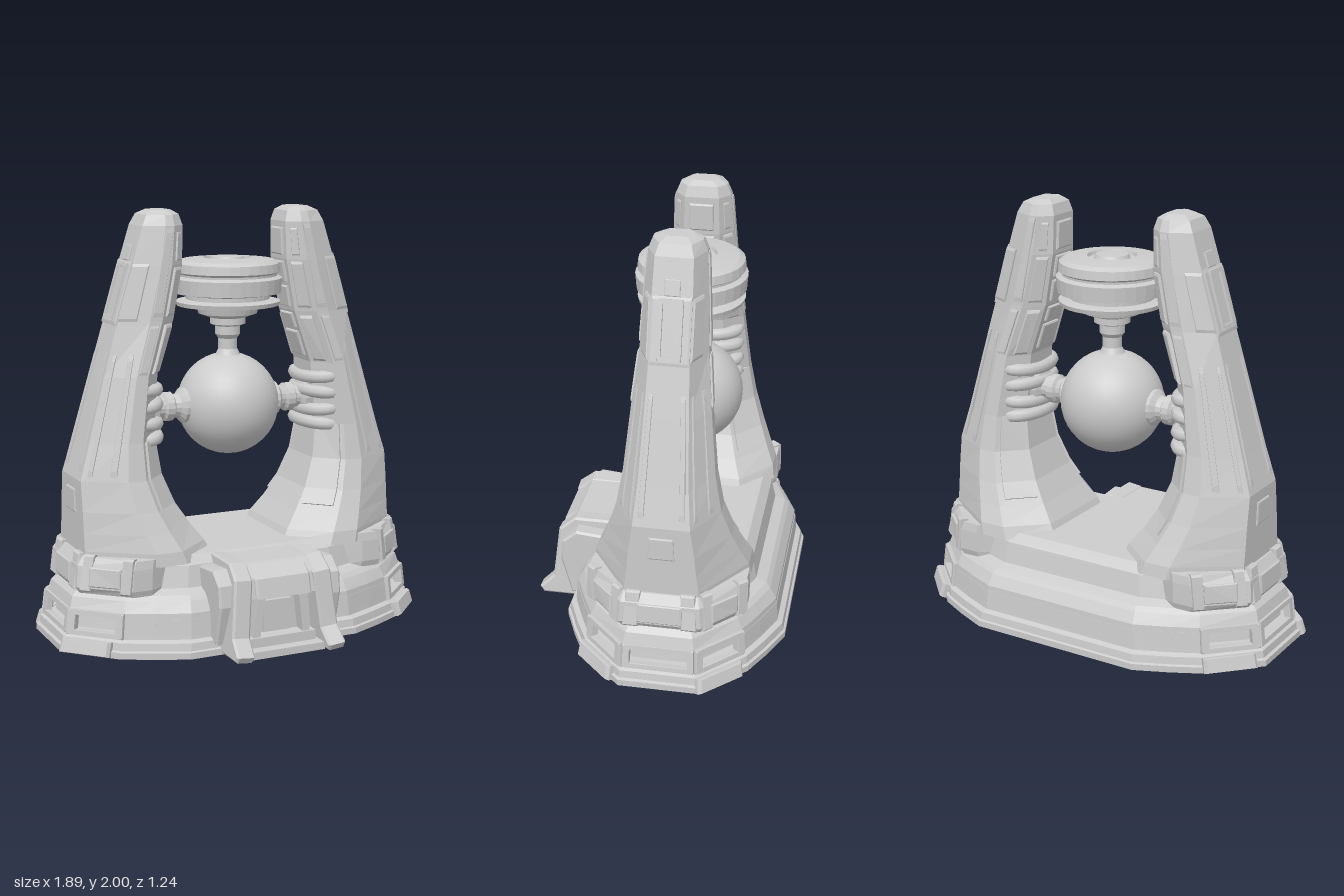
import * as THREE from 'three';

const mat = new THREE.MeshStandardMaterial({ color: 0xcccccc, flatShading: true });
const smooth = new THREE.MeshStandardMaterial({ color: 0xcccccc });
const V = (x, y, z) => new THREE.Vector3(x, y, z);

function add(parent, name, geo, x = 0, y = 0, z = 0, m = mat) {
  const mesh = new THREE.Mesh(geo, m);
  mesh.name = name;
  mesh.position.set(x, y, z);
  parent.add(mesh);
  return mesh;
}

// Closed skin over a stack of rings with equal point counts
function loft(rings) {
  const n = rings[0].length, idx = [], top = (rings.length - 1) * n;
  for (let r = 0; r < rings.length - 1; r++) {
    for (let i = 0; i < n; i++) {
      const a = r * n + i, b = r * n + (i + 1) % n;
      idx.push(a, a + n, b, b, a + n, b + n);
    }
  }
  for (let i = 1; i < n - 1; i++) idx.push(0, i, i + 1, top, top + i + 1, top + i);
  const geo = new THREE.BufferGeometry().setFromPoints(rings.flat());
  geo.setIndex(idx);
  const flat = geo.toNonIndexed();
  flat.computeVertexNormals();
  return flat;
}

// Linear lookup in rows of [y, ...values]
function sample(rows, y) {
  let i = 0;
  while (i < rows.length - 2 && y > rows[i + 1][0]) i++;
  const t = (y - rows[i][0]) / (rows[i + 1][0] - rows[i][0]);
  return rows[i].map((v, k) => v + (rows[i + 1][k] - v) * t);
}

// Bevelled plate on side `edge` of a lofted body, between heights y0..y1 and fractions t0..t1
function plate(parent, name, ringAt, rows, edge, y0, y1, t0, t1, depth, taper = 0.1) {
  const at = (y, t) => {
    const p = ringAt(sample(rows, y));
    return p[edge].clone().lerp(p[(edge + 1) % p.length], t);
  };
  const q = [at(y0, t0), at(y0, t1), at(y1, t1), at(y1, t0)];
  const out = q[3].clone().sub(q[0]).cross(q[1].clone().sub(q[0])).normalize();
  const mid = q.reduce((s, p) => s.add(p), V(0, 0, 0)).multiplyScalar(0.25);
  const shift = (d, k) => q.map(p => p.clone().lerp(mid, k).addScaledVector(out, d));
  add(parent, name, loft([shift(-0.02, 0), shift(depth * 0.6, 0), shift(depth, taper)]));
}

// Rectangular frame made of four plates
function frame(parent, name, ringAt, rows, edge, y0, y1, t0, t1, depth, by, bt) {
  const p = (a, b, c, d) => plate(parent, name, ringAt, rows, edge, a, b, c, d, depth);
  p(y0, y0 + by, t0, t1);
  p(y1 - by, y1, t0, t1);
  p(y0, y1, t0, t0 + bt);
  p(y0, y1, t1 - bt, t1);
}

// Plinth outline: one quarter mirrored into a 16-sided plan
const quarter = [[1, 0.34], [0.775, 0.74], [0.63, 0.87], [0.46, 1]];
const baseRing = ([y, hx, hz]) => {
  const rev = [...quarter].reverse();
  return [
    ...quarter.map(([x, z]) => V(x * hx, y, z * hz)), ...rev.map(([x, z]) => V(-x * hx, y, z * hz)),
    ...quarter.map(([x, z]) => V(-x * hx, y, -z * hz)), ...rev.map(([x, z]) => V(x * hx, y, -z * hz)),
  ];
};
const baseRows = [[0, 0.93, 0.53], [0.03, 0.93, 0.53], [0.035, 0.915, 0.52], [0.07, 0.91, 0.515],
  [0.08, 0.89, 0.49], [0.2, 0.875, 0.48], [0.25, 0.86, 0.45], [0.27, 0.84, 0.43],
  [0.29, 0.82, 0.38], [0.39, 0.79, 0.36], [0.43, 0.75, 0.32]];
// Same plinth with a groove behind the vents
const grooved = [...baseRows.slice(0, 5), [0.1, 0.887, 0.488], [0.101, 0.84, 0.44], [0.169, 0.83, 0.43],
  [0.17, 0.879, 0.482], ...baseRows.slice(5)];

// Leg section: [y, inner x, outer x, half width, outer face half, inner face half]
const legRing = ([y, xi, xo, w, wo, wi]) => {
  const xm = xo - 0.48 * (xo - xi), xn = xi + 0.3 * (xo - xi);
  const half = [[xo, wo], [xm, w], [xn, w], [xi, wi]];
  return [...half.map(([x, z]) => V(x, y, z)), ...half.reverse().map(([x, z]) => V(x, y, -z))];
};
const legRows = [[0.4, 0.19, 0.8, 0.37, 0.17, 0.22], [0.46, 0.22, 0.8, 0.36, 0.17, 0.21],
  [0.54, 0.28, 0.8, 0.325, 0.16, 0.18], [0.64, 0.345, 0.8, 0.285, 0.15, 0.15],
  [0.78, 0.4, 0.8, 0.24, 0.13, 0.12], [0.95, 0.425, 0.75, 0.21, 0.115, 0.1],
  [1.25, 0.4, 0.667, 0.18, 0.1, 0.09], [1.5, 0.315, 0.595, 0.155, 0.09, 0.085],
  [1.75, 0.27, 0.52, 0.145, 0.09, 0.085], [1.93, 0.265, 0.465, 0.13, 0.085, 0.08],
  [1.98, 0.28, 0.44, 0.11, 0.07, 0.07], [2, 0.31, 0.4, 0.07, 0.045, 0.045]];
const collarRows = [[0.27, 0.42, 0.83, 0.36, 0.18, 0.3], [0.3, 0.42, 0.85, 0.37, 0.19, 0.3],
  [0.4, 0.42, 0.84, 0.37, 0.18, 0.3], [0.44, 0.42, 0.81, 0.365, 0.17, 0.3]];

function buildLeg() {
  const leg = new THREE.Group();
  add(leg, 'legBody', loft(legRows.map(legRing)));
  add(leg, 'footCollar', loft(collarRows.map(legRing)));
  const on = (name, ...a) => plate(leg, name, legRing, legRows, ...a);

  // Clamps around the foot
  for (const e of [0, 6, 7]) {
    for (const t of [0.03, 0.77]) {
      plate(leg, 'footClamp', legRing, collarRows, e, 0.28, 0.45, t, t + 0.2, 0.025);
    }
    plate(leg, 'footBand', legRing, collarRows, e, 0.31, 0.4, 0.22, 0.78, 0.012);
  }

  // Outer face: upper armour, long rails, small hatch
  on('upperArmour', 7, 1.48, 1.77, 0, 1, 0.01);
  frame(leg, 'upperArmourFrame', legRing, legRows, 7, 1.5, 1.76, 0.2, 0.8, 0.02, 0.02, 0.1);
  on('upperTab', 7, 1.77, 1.84, 0.3, 0.7, 0.008);
  for (const t of [0.08, 0.82]) on('outerRail', 7, 0.82, 1.36, t, t + 0.1, 0.008);
  on('outerHatch', 7, 0.62, 0.73, 0.3, 0.7, 0.008);

  // Mirrored panels on the front and back halves
  for (const [cham, face, inner, f] of [[0, 1, 2, t => t], [6, 5, 4, t => 1 - t]]) {
    const both = (name, e, y0, y1, a, b, d, k) =>
      on(name, e, y0, y1, Math.min(f(a), f(b)), Math.max(f(a), f(b)), d, k);
    both('upperSidePlate', cham, 1.5, 1.76, 0, 0.6, 0.012);
    both('sideRail', cham, 0.8, 1.35, 0.12, 0.22, 0.008);
    both('sideRail', cham, 0.8, 1.35, 0.6, 0.75, 0.008);
    both('facePlate', face, 1.26, 1.48, 0.1, 0.8, 0.008);
    both('facePlate', face, 1.52, 1.92, 0.1, 0.9, 0.008);
    both('innerCable', inner, 1.26, 1.48, 0.25, 0.8, 0.015);
    both('innerCable', inner, 1.52, 1.74, 0.2, 0.8, 0.012);
    both('innerCable', inner, 1.77, 1.9, 0.3, 0.7, 0.008);
    // Continuous curved trim following the arch
    const ys = [0.57, 0.64, 0.78, 0.95];
    for (let i = 0; i < ys.length - 1; i++) both('archTrim', inner, ys[i], ys[i + 1], 0.15, 0.9, 0.012, 0);
  }
  for (const [a, b] of [[1.28, 1.4], [1.42, 1.49], [1.52, 1.62], [1.64, 1.74], [1.77, 1.9]]) {
    on('innerRib', 3, a, b, 0.15, 0.85, 0.012);
  }

  // Coils wrapped round the inner side, then the arm to the core
  [0.945, 1.02, 1.1, 1.18].forEach((y, i) => {
    const coil = add(leg, 'coil', new THREE.TorusGeometry(0.09, 0.028, 8, 28).rotateX(Math.PI / 2),
      0.475, y, 0, smooth);
    coil.scale.set(1, 1.1, 1.6);
    coil.rotation.z = i % 2 ? 0.08 : -0.08;
  });
  const armProfile = [[0, 0.2], [0.085, 0.21], [0.085, 0.245], [0.06, 0.265], [0.055, 0.29], [0.07, 0.3],
    [0.07, 0.335], [0.055, 0.345], [0.055, 0.37], [0.085, 0.385], [0.085, 0.44], [0, 0.45]];
  add(leg, 'coreArm', new THREE.LatheGeometry(armProfile.map(p => new THREE.Vector2(...p)), 16)
    .rotateZ(-Math.PI / 2), 0, 1.07, 0);
  return leg;
}

// Side profile in (z, y) extruded across x
function slice(parent, name, pts, x, w) {
  const geo = new THREE.ExtrudeGeometry(new THREE.Shape(pts.map(p => new THREE.Vector2(...p))),
    { depth: w - 0.02, bevelThickness: 0.01, bevelSize: 0.01, bevelOffset: -0.01, bevelSegments: 1 });
  geo.rotateY(-Math.PI / 2).translate(w / 2 - 0.01, 0, 0);
  return add(parent, name, geo, x);
}

function buildConsole() {
  const g = new THREE.Group();
  slice(g, 'consoleBody', [[0.15, 0], [0.15, 0.4], [0.2, 0.42], [0.44, 0.42], [0.5, 0.36],
    [0.52, 0.27], [0.44, 0.26], [0.44, 0]], 0, 0.44);
  for (const s of [1, -1]) {
    // Posts splay outwards towards their feet
    const post = slice(g, 'consolePost', [[0.2, 0], [0.2, 0.41], [0.24, 0.425], [0.44, 0.425], [0.52, 0.36],
      [0.55, 0.1], [0.62, 0.03], [0.6, 0]], s * 0.235, 0.09);
    post.rotation.z = s * 0.1;
    post.position.y = 0.005;
    slice(g, 'consoleFlank', [[0.2, 0.05], [0.2, 0.38], [0.42, 0.4], [0.49, 0.34], [0.5, 0.24], [0.45, 0.05]],
      s * 0.27, 0.08);
    add(g, 'doorJamb', new THREE.BoxGeometry(0.035, 0.25, 0.06), s * 0.12, 0.135, 0.475).rotation.z = s * 0.12;
  }
  slice(g, 'consoleBrow', [[0.42, 0.41], [0.45, 0.41], [0.515, 0.36], [0.535, 0.27], [0.48, 0.27]], 0, 0.28);
  add(g, 'door', new THREE.BoxGeometry(0.14, 0.15, 0.03), 0, 0.16, 0.445);
  add(g, 'doorStep', new THREE.BoxGeometry(0.34, 0.08, 0.08), 0, 0.04, 0.475);
  add(g, 'doorStep', new THREE.BoxGeometry(0.38, 0.035, 0.13), 0, 0.0175, 0.505);
  return g;
}

export function createModel() {
  const model = new THREE.Group();
  const tower = new THREE.Group();
  tower.name = 'tower';
  tower.position.z = -0.09;
  model.add(tower);

  // Stepped plinth: skin over the groove, open only at the corner and end vents
  add(tower, 'plinth', loft(grooved.map(baseRing)));
  for (let e = 0; e < 16; e++) {
    if ([0, 6, 8, 14].includes(e)) {
      frame(tower, 'cornerVent', baseRing, baseRows, e, 0.08, 0.2, 0, 1, 0.02, 0.025, 0.14);
      plate(tower, 'cornerFoot', baseRing, baseRows, e, 0.002, 0.07, 0.15, 1, 0.035);
    } else if (e === 7 || e === 15) {
      frame(tower, 'endVent', baseRing, baseRows, e, 0.08, 0.2, 0, 1, 0.012, 0.025, 0.1);
    } else {
      plate(tower, 'plinthSkin', baseRing, baseRows, e, 0.095, 0.175, 0, 1, 0.002, 0);
    }
  }

  // Twin legs
  for (const [name, turn] of [['leftLeg', 0], ['rightLeg', Math.PI]]) {
    const leg = buildLeg();
    leg.name = name;
    leg.rotation.y = turn;
    tower.add(leg);
  }

  // Suspended core
  add(tower, 'core', new THREE.SphereGeometry(0.245, 32, 20), 0, 1.065, 0, smooth);

  // Stem and stacked disc above the core
  const disc = [[0, 1.28], [0.065, 1.29], [0.045, 1.33], [0.045, 1.38], [0.06, 1.4], [0.06, 1.44], [0.085, 1.45],
    [0.085, 1.48], [0.14, 1.5], [0.15, 1.535], [0.245, 1.54], [0.25, 1.56], [0.2, 1.57], [0.2, 1.59],
    [0.255, 1.6], [0.26, 1.67], [0.235, 1.68], [0.235, 1.69], [0.25, 1.7], [0.245, 1.74], [0.22, 1.755],
    [0.115, 1.765], [0.11, 1.75], [0.085, 1.75], [0.075, 1.77], [0, 1.772]];
  add(tower, 'topDisc', new THREE.LatheGeometry(disc.map(p => new THREE.Vector2(...p)), 32));

  // Front console
  const desk = buildConsole();
  desk.name = 'console';
  model.add(desk);
  return model;
}
